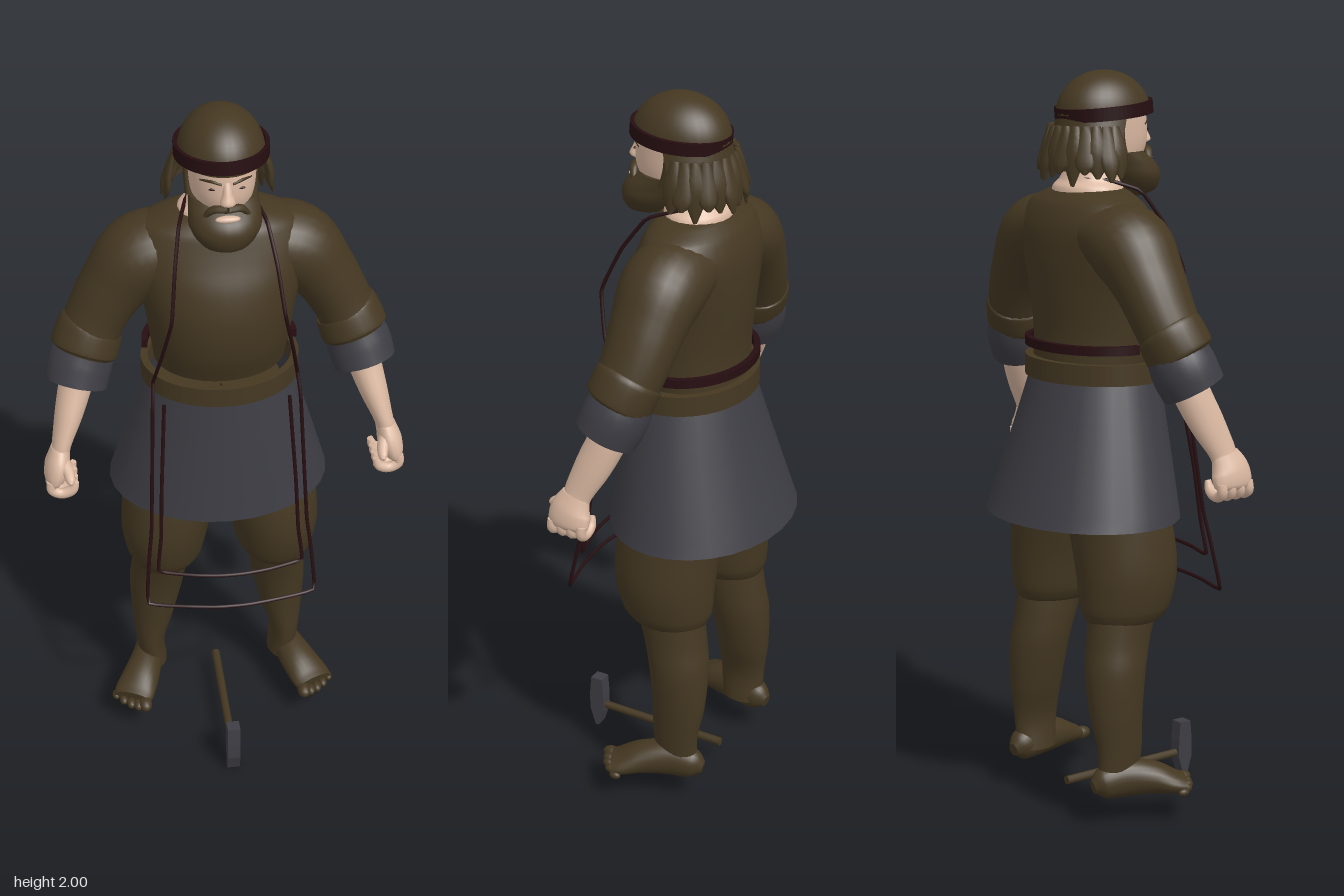
import * as THREE from 'three';

const paint = (name, color) => {
  const m = new THREE.MeshStandardMaterial({ color, side: THREE.DoubleSide });
  m.name = name;
  return m;
};
const V = (x, y, z) => new THREE.Vector3(x, y, z);

// Skin a run of oval sections [x, y, z, a, b]; b lies along ref, a across it.
function loft(sections, o = {}) {
  const { seg = 24, steps = 5, ref = V(0, 0, 1), flat = false, caps = true, arc = [0, Math.PI * 2] } = o;
  const path = new THREE.CatmullRomCurve3(sections.map(s => V(s[0], s[1], s[2])));
  const size = new THREE.CatmullRomCurve3(sections.map(s => V(s[3], s[4], 0)), false, 'catmullrom');
  const n = (sections.length - 1) * steps, closed = arc[1] - arc[0] > 6.28;
  const cols = closed ? seg : seg + 1, pos = [], idx = [];
  const ring = i => {
    const c = path.getPoint(i / n), s = size.getPoint(i / n);
    const t = flat ? V(0, 1, 0) : path.getTangent(i / n);
    const v = ref.clone().addScaledVector(t, -ref.dot(t)).normalize();
    const u = v.clone().cross(t);
    for (let j = 0; j < cols; j++) {
      const a = arc[0] + (arc[1] - arc[0]) * j / seg;
      const p = c.clone().addScaledVector(u, s.x * Math.cos(a)).addScaledVector(v, s.y * Math.sin(a));
      pos.push(p.x, p.y, p.z);
    }
    return c;
  };
  for (let i = 0; i <= n; i++) ring(i);
  for (let i = 0; i < n; i++) for (let j = 0; j < seg; j++) {
    const k = (j + 1) % cols, a = i * cols + j, b = i * cols + k;
    idx.push(a, b, a + cols, b, b + cols, a + cols);
  }
  if (caps && closed) for (const i of [0, n]) {
    const base = pos.length / 3, c = ring(i);
    pos.push(c.x, c.y, c.z);
    for (let j = 0; j < seg; j++) {
      const k = base + (j + 1) % seg;
      idx.push(base + seg, ...(i ? [base + j, k] : [k, base + j]));
    }
  }
  const g = new THREE.BufferGeometry();
  g.setAttribute('position', new THREE.Float32BufferAttribute(pos, 3));
  g.setIndex(idx);
  g.computeVertexNormals();
  return g;
}

// Flat oval hoop with square edges, standing on y = 0.
function hoop(rx, rz, thick, h) {
  const shape = new THREE.Shape().absellipse(0, 0, rx, rz, 0, Math.PI * 2);
  shape.holes.push(new THREE.Path().absellipse(0, 0, rx - thick, rz - thick, 0, Math.PI * 2, true));
  return new THREE.ExtrudeGeometry(shape, { depth: h, bevelEnabled: false, curveSegments: 32 }).rotateX(-Math.PI / 2);
}

const cord = pts => new THREE.TubeGeometry(
  new THREE.CatmullRomCurve3(pts.map(p => V(...p)), false, 'catmullrom', 0.15), 70, 0.005, 6);
const ball = (x, y, z, a, b, c) => new THREE.SphereGeometry(1, 14, 10).scale(a, b, c).translate(x, y, z);

export function createModel() {
  const root = new THREE.Group();
  const brown = paint('brown cloth', 0x453822);
  const slate = paint('slate cloth', 0x3d3d44);
  const skin = paint('skin', 0xdbb9a2);
  const dark = paint('dark leather', 0x260e11);
  const add = (name, geo, mat, parent = root) => {
    const m = new THREE.Mesh(geo, mat);
    m.name = name;
    parent.add(m);
    return m;
  };

  // Shirt body, belt and skirt
  add('shirt', loft([
    [0, 1.245, -0.035, 0.174, 0.14], [0, 1.33, -0.02, 0.185, 0.155], [0, 1.43, -0.02, 0.2, 0.164],
    [0, 1.52, -0.032, 0.222, 0.157], [0, 1.6, -0.047, 0.238, 0.138], [0, 1.66, -0.047, 0.2, 0.115],
    [0, 1.688, -0.042, 0.135, 0.092], [0, 1.698, -0.04, 0.095, 0.078]], { flat: true, seg: 36 }), brown);
  add('belt', hoop(0.21, 0.173, 0.02, 0.055), brown).position.set(0, 1.195, -0.023);
  add('skirt', loft([[0, 1.215, -0.022, 0.188, 0.162], [0, 1.02, -0.042, 0.245, 0.2], [0, 0.826, -0.064, 0.3, 0.24]],
    { flat: true, caps: false, seg: 28 }), slate);

  // Legs, sleeves and hands
  for (const s of [1, -1]) {
    const side = s > 0 ? 'left' : 'right';
    const mir = list => list.map(([x, ...r]) => [x * s, ...r]);
    const leg = new THREE.Group(), arm = new THREE.Group();
    leg.name = side + 'Leg';
    arm.name = side + 'Arm';
    root.add(leg, arm);

    add('breeches', loft(mir([
      [0.16, 0.572, -0.05, 0.07, 0.09], [0.158, 0.557, -0.045, 0.084, 0.106], [0.156, 0.59, -0.038, 0.106, 0.128],
      [0.153, 0.68, -0.03, 0.122, 0.142], [0.136, 0.79, -0.034, 0.131, 0.144], [0.122, 0.88, -0.048, 0.128, 0.14],
      [0.1, 1.0, -0.05, 0.11, 0.125], [0.08, 1.16, -0.035, 0.085, 0.1]]), { flat: true }), brown, leg);
    add('shin', loft(mir([
      [0.19, 0.11, -0.09, 0.04, 0.062], [0.197, 0.2, -0.085, 0.041, 0.066], [0.187, 0.3, -0.09, 0.06, 0.076],
      [0.176, 0.42, -0.085, 0.076, 0.085], [0.168, 0.5, -0.07, 0.077, 0.09], [0.165, 0.59, -0.05, 0.078, 0.1]]),
      { flat: true }), brown, leg);
    add('foot', loft(mir([
      [0.188, 0.113, -0.168, 0.016, 0.018], [0.193, 0.12, -0.14, 0.036, 0.043], [0.208, 0.127, -0.07, 0.044, 0.051],
      [0.233, 0.12, 0, 0.053, 0.044], [0.257, 0.105, 0.05, 0.059, 0.031], [0.268, 0.1, 0.075, 0.056, 0.024]]),
      { ref: V(0, 1, 0) }), brown, leg);
    for (let i = 0; i < 5; i++) {
      const r = i ? 0.0145 - i * 0.0008 : 0.019;
      add('toe', ball(s * (0.232 + i * 0.02), 0.078 + r, 0.1 - i * i * 0.0035, r, r, r * 1.5), brown, leg);
    }

    // The sleeve swings forward towards the elbow, so its cuffs tilt
    add('sleeve', loft(mir([
      [0.1, 1.59, -0.06, 0.085, 0.108], [0.2, 1.555, -0.055, 0.107, 0.113], [0.27, 1.475, -0.05, 0.09, 0.1],
      [0.322, 1.385, -0.04, 0.08, 0.09], [0.355, 1.31, -0.022, 0.08, 0.085]])), brown, arm);
    add('rolledCuff', loft(mir([
      [0.333, 1.362, -0.038, 0.076, 0.083], [0.338, 1.353, -0.035, 0.086, 0.09],
      [0.358, 1.298, -0.016, 0.09, 0.09], [0.362, 1.288, -0.012, 0.078, 0.082]])), brown, arm);
    add('innerSleeve', loft(mir([[0.35, 1.31, -0.026, 0.078, 0.082], [0.37, 1.26, -0.013, 0.086, 0.088],
      [0.385, 1.208, 0.008, 0.083, 0.085]])), slate, arm);
    add('forearm', loft(mir([
      [0.365, 1.27, -0.015, 0.046, 0.05], [0.385, 1.2, 0, 0.045, 0.052], [0.41, 1.12, 0.032, 0.037, 0.05],
      [0.433, 1.05, 0.062, 0.026, 0.041], [0.44, 1.02, 0.07, 0.027, 0.038]]), { seg: 16 }), skin, arm);
    add('palm', loft(mir([
      [0.438, 1.04, 0.068, 0.025, 0.04], [0.448, 0.995, 0.08, 0.033, 0.058],
      [0.458, 0.96, 0.08, 0.027, 0.058], [0.459, 0.945, 0.08, 0.012, 0.045]]), { seg: 16 }), skin, arm);
    for (let i = 0; i < 4; i++) {
      const z = 0.036 + i * 0.029, r = 0.014;
      add('finger', loft(mir([
        [0.466, 0.968, z, r, r], [0.467, 0.943, z + 0.002, r, r], [0.442, 0.93, z + 0.004, r, r],
        [0.413, 0.942, z + 0.006, r, r], [0.403, 0.968, z + 0.006, r * 0.6, r * 0.6]]), { seg: 10, steps: 4 }), skin, arm);
    }
    add('thumb', loft(mir([
      [0.437, 1.015, 0.09, 0.02, 0.02], [0.422, 1.0, 0.126, 0.016, 0.016],
      [0.418, 0.988, 0.152, 0.012, 0.012], [0.418, 0.984, 0.162, 0.005, 0.005]]),
      { seg: 10, ref: V(0, 1, 0) }), skin, arm);
  }

  // Head
  const head = new THREE.Group();
  head.name = 'head';
  root.add(head);
  add('neck', loft([[0, 1.66, -0.045, 0.115, 0.09], [0, 1.7, -0.045, 0.104, 0.086], [0, 1.72, -0.04, 0.085, 0.075],
    [0, 1.78, -0.025, 0.065, 0.065]], { flat: true }), skin, head);
  add('face', loft([
    [0, 1.72, -0.01, 0.05, 0.07], [0, 1.745, 0.01, 0.068, 0.09],
    [0, 1.8, 0.022, 0.081, 0.108], [0, 1.86, 0.02, 0.086, 0.112], [0, 1.92, 0.01, 0.088, 0.112]], { flat: true }), skin, head);
  add('nose', loft([[0, 1.868, 0.118, 0.01, 0.012], [0, 1.835, 0.133, 0.013, 0.016],
    [0, 1.812, 0.138, 0.02, 0.02], [0, 1.803, 0.13, 0.012, 0.012]], { flat: true, seg: 12 }), skin, head);
  add('beard', loft([
    [0, 1.667, 0.105, 0.025, 0.028], [0, 1.682, 0.1, 0.064, 0.06], [0, 1.72, 0.09, 0.09, 0.08],
    [0, 1.755, 0.072, 0.091, 0.084], [0, 1.788, 0.04, 0.086, 0.072]], { flat: true }), brown, head);
  add('lip', ball(0, 1.767, 0.142, 0.032, 0.009, 0.012), skin, head);
  for (const s of [1, -1]) {
    add('moustache', loft([[0, 1.792, 0.136, 0.009, 0.013], [s * 0.035, 1.788, 0.127, 0.009, 0.012],
      [s * 0.056, 1.762, 0.115, 0.007, 0.008]], { seg: 10 }), brown, head);
    add('eyebrow', loft([[s * 0.014, 1.86, 0.13, 0.003, 0.004], [s * 0.037, 1.865, 0.121, 0.004, 0.004],
      [s * 0.063, 1.858, 0.094, 0.003, 0.003]], { seg: 8 }), brown, head);
    add('eye', ball(s * 0.034, 1.843, 0.121, 0.012, 0.003, 0.004), dark, head);
    add('sideburn', loft([[s * 0.084, 1.77, 0.01, 0.008, 0.016], [s * 0.087, 1.83, -0.002, 0.008, 0.012],
      [s * 0.089, 1.9, -0.002, 0.008, 0.012]], { seg: 10 }), brown, head);
  }

  // Crown of hair, long back hair and ragged locks
  add('crown', new THREE.SphereGeometry(1, 32, 14, 0, Math.PI * 2, 0, Math.PI / 2)
    .scale(0.11, 0.115, 0.134).translate(0, 1.885, 0.006), brown, head);
  add('backHair', loft([
    [0, 1.745, -0.045, 0.126, 0.11], [0, 1.78, -0.04, 0.13, 0.113], [0, 1.83, -0.02, 0.118, 0.115],
    [0, 1.9, 0.004, 0.104, 0.127]], { flat: true, arc: [Math.PI * 0.99, Math.PI * 2.01] }), brown, head);
  for (let i = 0; i <= 12; i++) {
    const a = Math.PI * (1 + i / 12), c = Math.cos(a), d = Math.sin(a);
    const low = 1.728 - 0.02 * (i % 3 === 1) + 0.012 * (i % 2), out = 1 + 0.07 * (i % 2);
    const at = (k, y, w, b) => [c * 0.128 * k, y, -0.038 + d * 0.115 * k, w, b];
    add('lock', loft([at(0.86, 1.86, 0.012, 0.008), at(1.0, 1.8, 0.025, 0.01),
      at(1.02 * out, 1.76, 0.024, 0.01), at(1.07 * out, low, 0.005, 0.003)],
      { seg: 8, steps: 3, ref: V(c, 0, d) }), brown, head);
  }
  const band = add('headband', hoop(0.12, 0.135, 0.01, 0.034), dark, head);
  band.position.set(0, 1.88, 0.009);
  band.rotation.x = -0.09;

  // Apron edging: neck strap, sides and two hem lines
  const apron = new THREE.Group();
  apron.name = 'apronEdging';
  root.add(apron);
  const both = half => [...half, ...half.slice().reverse().map(([x, y, z]) => [-x, y, z])];
  const neck = [[0.19, 1.25, 0.095], [0.17, 1.36, 0.14], [0.145, 1.48, 0.163], [0.13, 1.6, 0.11],
    [0.112, 1.69, 0.045], [0.085, 1.72, -0.04], [0.05, 1.725, -0.095]];
  add('neckStrap', cord(both(neck)), dark, apron);
  add('outerEdge', cord(both([[0.19, 1.25, 0.095], [0.195, 1.19, 0.13], [0.21, 0.83, 0.185], [0.218, 0.76, 0.2],
    [0.228, 0.607, 0.232], [0.12, 0.605, 0.258], [0.04, 0.605, 0.27]])), dark, apron);
  add('innerEdge', cord(both([[0.165, 1.2, 0.13], [0.18, 0.95, 0.175], [0.186, 0.8, 0.195],
    [0.195, 0.7, 0.21], [0.1, 0.698, 0.238], [0.03, 0.698, 0.248]])), dark, apron);

  // Tie around the back of the waist
  const tie = new THREE.Shape().absellipse(0, 0, 0.206, 0.168, 0, Math.PI);
  tie.absellipse(0, 0, 0.19, 0.152, Math.PI, 0, true);
  add('backTie', new THREE.ExtrudeGeometry(tie, { depth: 0.024, bevelEnabled: false, curveSegments: 28 })
    .rotateX(-Math.PI / 2), dark, apron).position.set(0, 1.275, -0.028);

  // Hammer lying on its head
  const hammer = new THREE.Group();
  hammer.name = 'hammer';
  root.add(hammer);
  add('handle', new THREE.CylinderGeometry(0.011, 0.012, 0.39, 10).rotateX(Math.PI / 2)
    .translate(0, 0.068, 0.075), brown, hammer);
  const profile = new THREE.Shape([[0.302, 0.16], [0.266, 0.16], [0.262, 0.105], [0.262, 0.055], [0.28, 0], [0.29, 0],
    [0.307, 0.055], [0.307, 0.105]].map(([z, y]) => new THREE.Vector2(-z, y)));
  add('hammerHead', new THREE.ExtrudeGeometry(profile, { depth: 0.036, bevelEnabled: false })
    .translate(0, 0, -0.018).rotateY(Math.PI / 2), slate, hammer);
  return root;
}
